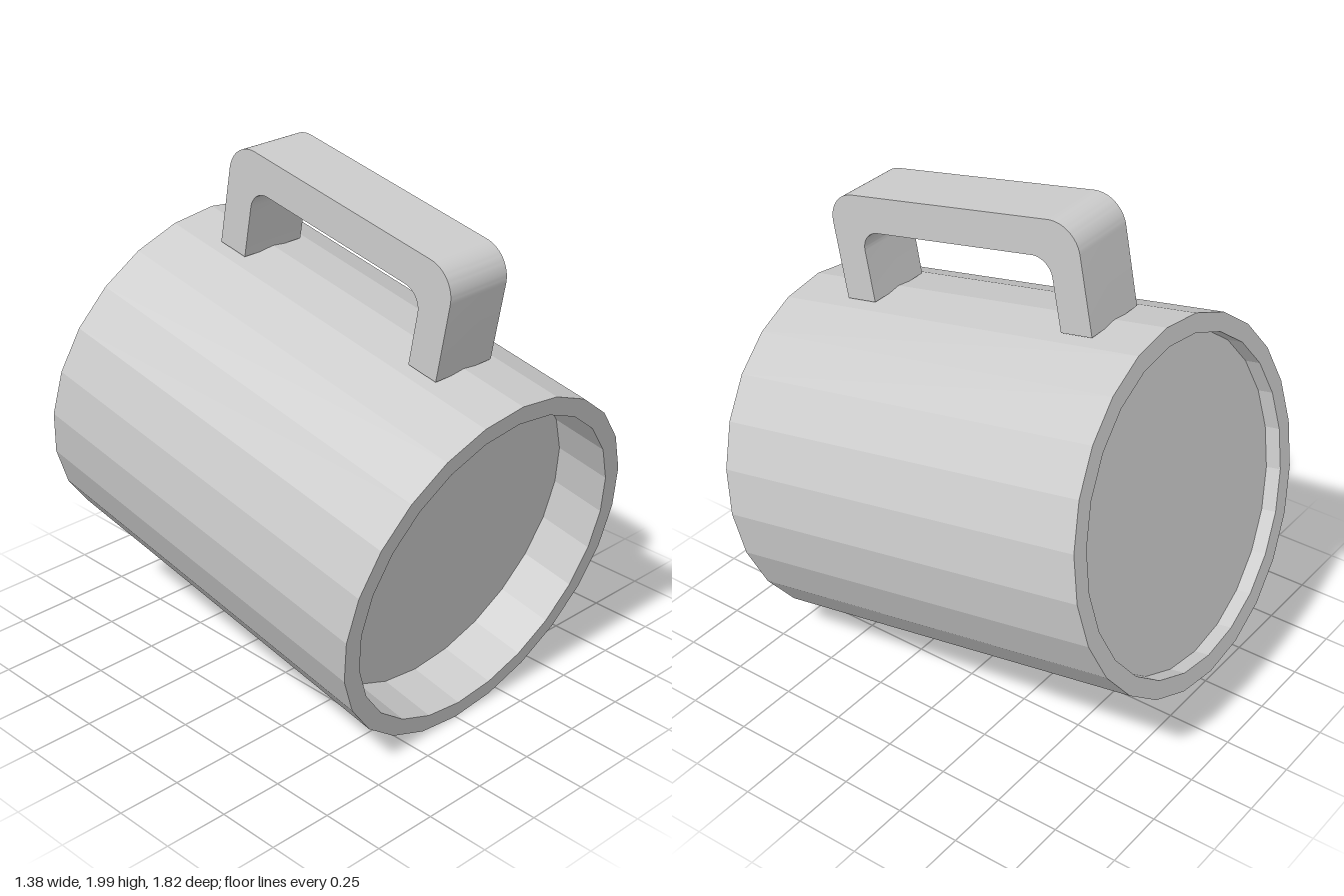
import * as THREE from 'three';
import { toCreasedNormals } from 'three/addons/utils/BufferGeometryUtils.js';

const RADIUS = 0.69, INNER = 0.62, HALF = 0.794;
const TILT = THREE.MathUtils.degToRad(10.75);

// Trace an arch with rounded top corners from its right foot to its left foot
function arch(shape, right, left, foot, top, r) {
  shape.lineTo(right, foot);
  shape.lineTo(right, top - r);
  shape.absarc(right - r, top - r, r, 0, Math.PI / 2, false);
  shape.lineTo(left + r, top);
  shape.absarc(left + r, top - r, r, Math.PI / 2, Math.PI, false);
  shape.lineTo(left, foot);
}

export function createModel() {
  const group = new THREE.Group();
  group.name = 'mug';

  // Faceted 24-sided cup: shallow recess under the base, deeper one at the mouth
  const profile = [
    [0, -HALF + 0.06], [INNER, -HALF + 0.06], [INNER, -HALF], [RADIUS, -HALF],
    [RADIUS, HALF], [INNER, HALF], [INNER, HALF - 0.225], [0, HALF - 0.225],
  ].map(([x, y]) => new THREE.Vector2(x, y));
  const cup = new THREE.Mesh(
    new THREE.LatheGeometry(profile, 24).rotateX(Math.PI / 2),
    new THREE.MeshStandardMaterial({ color: 0xcccccc, flatShading: true })
  );
  cup.name = 'cup';
  group.add(cup);

  // Handle: outer arch, then back along the inner arch
  const foot = 0.682, width = 0.274;
  const shape = new THREE.Shape();
  shape.moveTo(0.52, foot);
  arch(shape, 0.52, -0.58, foot, 1.098, 0.115);
  shape.lineTo(-0.45, foot);
  shape.lineTo(-0.45, 0.96 - 0.075);
  shape.absarc(-0.375, 0.885, 0.075, Math.PI, Math.PI / 2, true);
  shape.lineTo(0.315, 0.96);
  shape.absarc(0.315, 0.885, 0.075, Math.PI / 2, 0, true);
  shape.lineTo(0.39, foot);
  const handleGeometry = new THREE.ExtrudeGeometry(shape, {
    depth: width, bevelEnabled: false, curveSegments: 10,
  }).translate(0, 0, -width / 2).rotateY(-Math.PI / 2);
  const handle = new THREE.Mesh(
    toCreasedNormals(handleGeometry, 0.6),
    new THREE.MeshStandardMaterial({ color: 0xcccccc })
  );
  handle.name = 'handle';
  group.add(handle);

  // Lying on its side, mouth dipped toward the front
  group.rotation.x = TILT;
  group.position.y = RADIUS * Math.cos(TILT) + HALF * Math.sin(TILT);

  const root = new THREE.Group();
  root.name = 'tiltedMug';
  root.add(group);
  return root;
}
